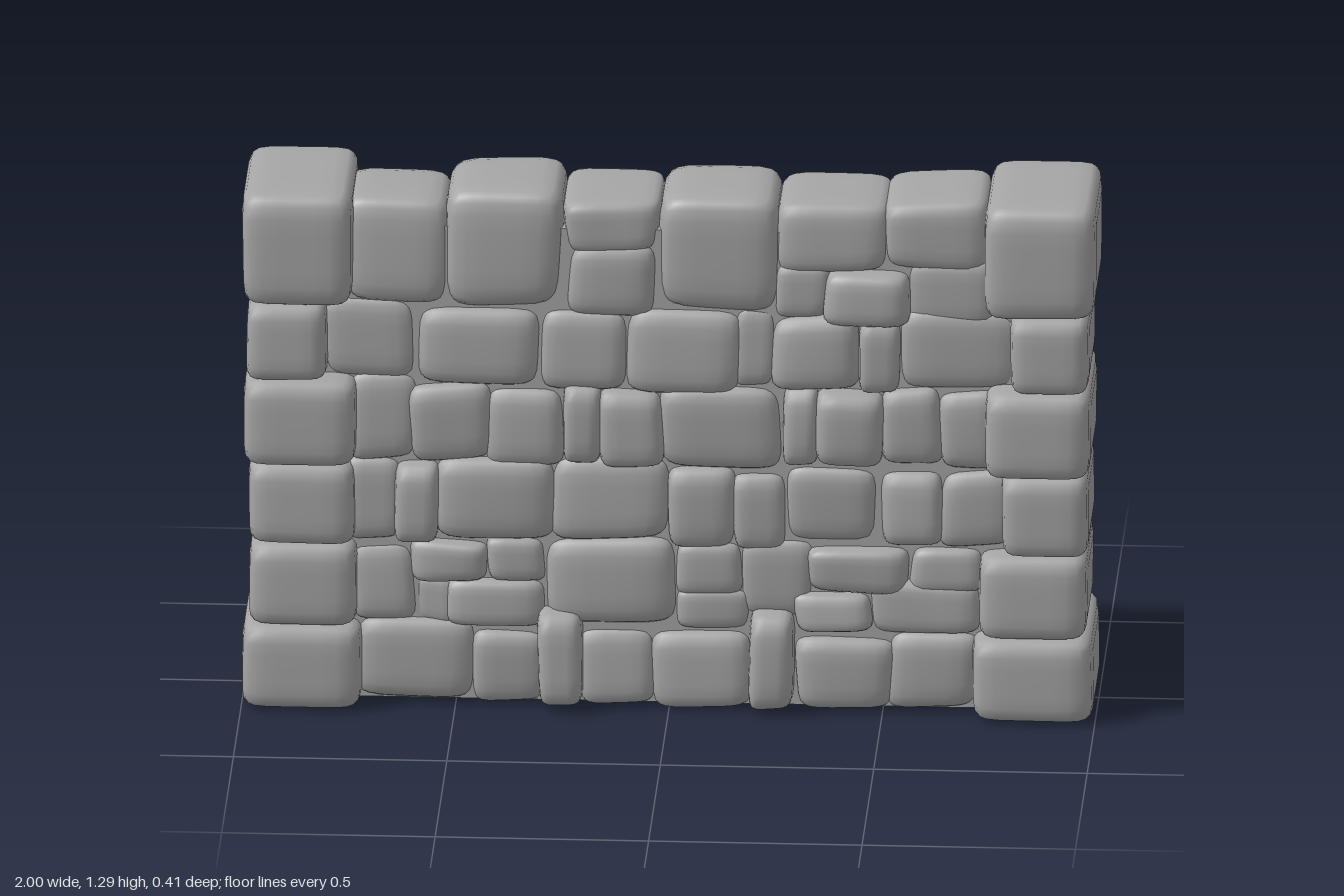
import * as THREE from 'three';
import { mergeVertices } from 'three/addons/utils/BufferGeometryUtils.js';

// Small seeded generator for the uneven stone corners
let seed = 7;
const rand = () => {
  seed = (seed * 16807) % 2147483647;
  return seed / 2147483647 - 0.5;
};

// Pillow-shaped stone filling x0..x1, y0..y1 and -d..d, with uneven corners
function stoneGeometry(x0, x1, y0, y1, d, power, uneven) {
  let geo = new THREE.BoxGeometry(2, 2, 2, 8, 8, 8);
  geo.deleteAttribute('normal');
  geo.deleteAttribute('uv');
  geo = mergeVertices(geo);
  const half = [(x1 - x0) / 2, (y1 - y0) / 2, d];
  const shift = Array.from({ length: 4 }, () => half.map(h => rand() * uneven * Math.min(h, 0.1)));
  const pos = geo.attributes.position;
  const v = new THREE.Vector3();
  for (let i = 0; i < pos.count; i++) {
    // Gather the loops toward the edges, then round them off
    v.fromBufferAttribute(pos, i);
    const t = v.toArray().map(a => Math.sin(a * Math.PI / 2) * 0.5 + a * 0.5);
    const n = Math.pow(t.reduce((s, a) => s + Math.pow(Math.abs(a), power), 0), 1 / power);
    const q = t.map(a => a / n);
    // Blend the corner shifts, front and back alike
    const w = [(1 - q[0]) * (1 - q[1]), (1 + q[0]) * (1 - q[1]), (1 - q[0]) * (1 + q[1]), (1 + q[0]) * (1 + q[1])];
    const off = [0, 1, 2].map(k => w.reduce((s, a, c) => s + a / 4 * shift[c][k], 0));
    pos.setXYZ(i,
      (x0 + x1) / 2 + q[0] * half[0] + off[0],
      Math.max(0, (y0 + y1) / 2 + q[1] * half[1] + off[1]),
      q[2] * (half[2] + off[2]));
  }
  geo.computeVertexNormals();
  return geo;
}

// Wall stones by course: left, right, bottom, top, half depth
const courses = {
  baseCourse: [
    [-0.73, -0.45, 0, 0.21, 0.14], [-0.47, -0.29, 0, 0.19, 0.135], [-0.31, -0.2, 0, 0.25, 0.185],
    [-0.21, -0.03, 0, 0.2, 0.13], [-0.05, 0.2, 0, 0.2, 0.145], [0.185, 0.295, 0, 0.25, 0.185],
    [0.29, 0.53, 0, 0.19, 0.14], [0.51, 0.73, 0, 0.21, 0.14],
  ],
  secondCourse: [
    [-0.75, -0.59, 0.19, 0.4, 0.13], [-0.61, -0.42, 0.3, 0.41, 0.145], [-0.6, -0.5, 0.19, 0.32, 0.12],
    [-0.52, -0.29, 0.19, 0.31, 0.145], [-0.43, -0.29, 0.3, 0.42, 0.13], [-0.3, 0.02, 0.2, 0.42, 0.145],
    [0.01, 0.2, 0.19, 0.3, 0.125], [0.01, 0.18, 0.28, 0.42, 0.13], [0.17, 0.34, 0.22, 0.42, 0.125],
    [0.29, 0.48, 0.2, 0.3, 0.15], [0.32, 0.57, 0.29, 0.41, 0.14], [0.47, 0.74, 0.19, 0.33, 0.135],
    [0.56, 0.74, 0.3, 0.42, 0.14],
  ],
  thirdCourse: [
    [-0.76, -0.63, 0.4, 0.61, 0.13], [-0.645, -0.54, 0.4, 0.6, 0.16], [-0.55, -0.27, 0.41, 0.61, 0.145],
    [-0.28, 0.01, 0.41, 0.62, 0.135], [-0.01, 0.155, 0.4, 0.61, 0.145], [0.145, 0.27, 0.4, 0.6, 0.14],
    [0.26, 0.5, 0.41, 0.61, 0.13], [0.49, 0.64, 0.41, 0.61, 0.145], [0.63, 0.81, 0.41, 0.61, 0.135],
  ],
  fourthCourse: [
    [-0.76, -0.59, 0.6, 0.82, 0.13], [-0.61, -0.42, 0.6, 0.8, 0.145], [-0.43, -0.24, 0.6, 0.8, 0.14],
    [-0.25, -0.16, 0.6, 0.8, 0.155], [-0.17, -0.01, 0.6, 0.8, 0.165], [-0.02, 0.27, 0.6, 0.8, 0.145],
    [0.265, 0.355, 0.6, 0.81, 0.155], [0.345, 0.505, 0.61, 0.8, 0.165], [0.49, 0.64, 0.61, 0.81, 0.14],
    [0.63, 0.77, 0.61, 0.81, 0.135],
  ],
  fifthCourse: [
    [-0.82, -0.59, 0.8, 1.01, 0.13], [-0.6, -0.3, 0.79, 0.99, 0.145], [-0.31, -0.09, 0.79, 0.99, 0.14],
    [-0.1, 0.17, 0.79, 1, 0.145], [0.15, 0.25, 0.8, 1, 0.125], [0.23, 0.45, 0.79, 0.99, 0.145],
    [0.44, 0.54, 0.79, 0.98, 0.155], [0.53, 0.82, 0.8, 1, 0.13], [0.24, 0.38, 0.97, 1.12, 0.125],
    [0.36, 0.57, 0.97, 1.1, 0.165], [0.55, 0.77, 0.96, 1.13, 0.125],
  ],
  topCourse: [
    [-0.76, -0.52, 0.99, 1.265, 0.13], [-0.53, -0.25, 0.99, 1.28, 0.145], [-0.25, -0.02, 1.13, 1.26, 0.135],
    [-0.24, -0.02, 0.97, 1.15, 0.13], [-0.03, 0.25, 0.99, 1.28, 0.14], [0.24, 0.52, 1.09, 1.265, 0.14],
    [0.5, 0.76, 1.1, 1.275, 0.13],
  ],
};

// End stones, bottom up: bottom, top, half depth, inner and outer edge of left end, then of right end
const endStones = [
  [0, 0.21, 0.203, 0.71, 0.995, 0.72, 1],
  [0.2, 0.41, 0.187, 0.725, 0.98, 0.73, 0.985],
  [0.405, 0.61, 0.187, 0.78, 0.985, 0.735, 0.985],
  [0.605, 0.82, 0.2, 0.74, 0.99, 0.73, 0.995],
  [0.815, 1.01, 0.19, 0.8, 0.985, 0.8, 0.99],
  [1.0, 1.283, 0.195, 0.74, 1, 0.74, 1],
];

export function createModel() {
  seed = 7;
  const wall = new THREE.Group();
  wall.name = 'stoneWall';
  const stone = new THREE.MeshStandardMaterial({ color: 0xa6a6a6 });
  stone.name = 'grey stone';

  const add = (parent, name, geometry) => {
    const mesh = new THREE.Mesh(geometry, stone);
    mesh.name = name;
    parent.add(mesh);
    return mesh;
  };

  // Mortar core closing the joints
  add(wall, 'mortarCore', new THREE.BoxGeometry(1.84, 1.18, 0.22)).position.y = 0.6;

  // Courses of through-stones
  for (const [name, stones] of Object.entries(courses)) {
    const course = new THREE.Group();
    course.name = name;
    for (const s of stones) add(course, 'wallStone', stoneGeometry(...s, 6, 0.22));
    wall.add(course);
  }

  // Larger stones at both ends
  const ends = new THREE.Group();
  ends.name = 'endPillars';
  for (const [y0, y1, d, li, lo, ri, ro] of endStones) {
    add(ends, 'leftEndStone', stoneGeometry(li, lo, y0, y1, d, 8, 0.05));
    add(ends, 'rightEndStone', stoneGeometry(-ro, -ri, y0, y1, d, 8, 0.05));
  }
  wall.add(ends);
  return wall;
}
